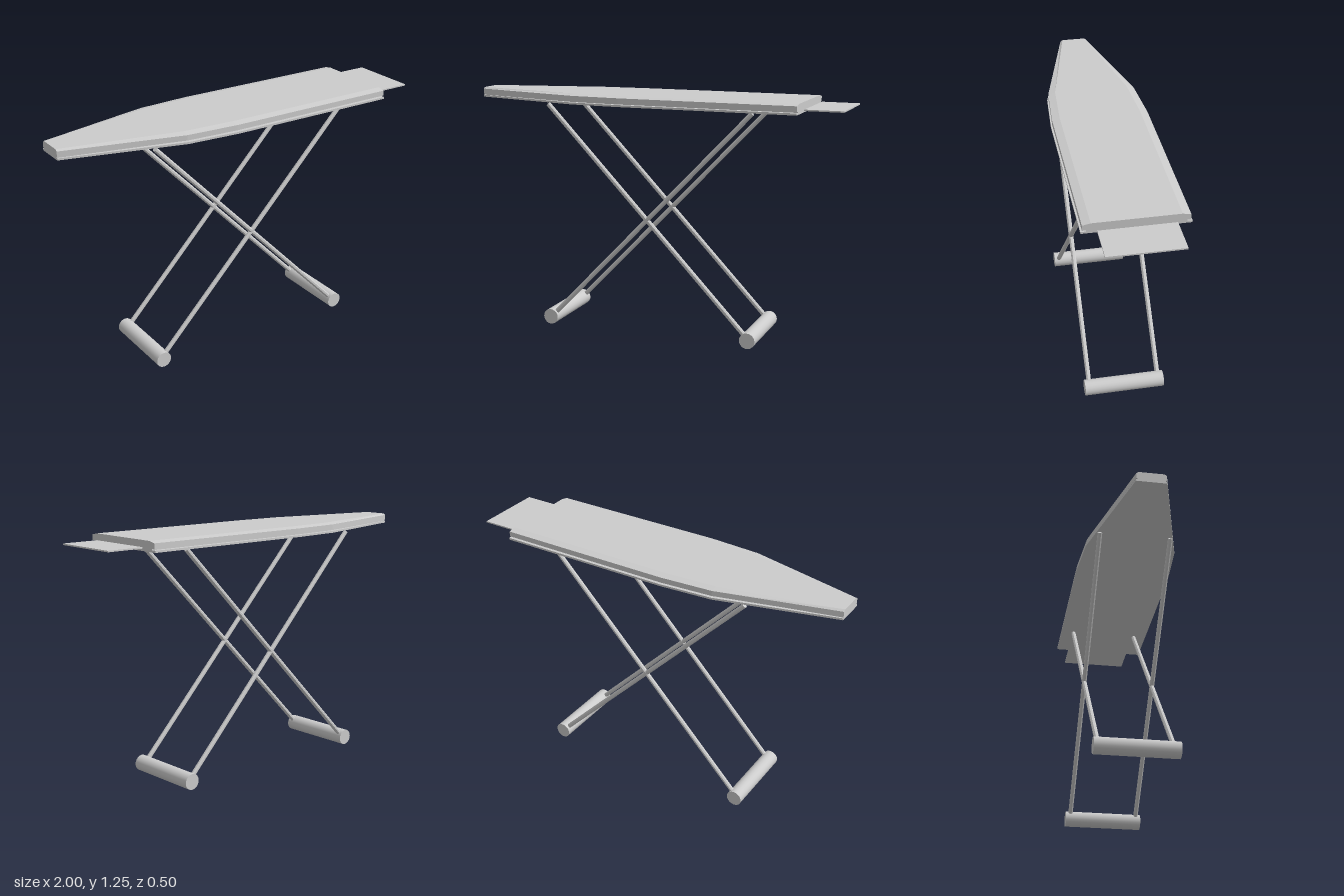
import * as THREE from 'three';

export function createModel() {
  const grey = new THREE.MeshStandardMaterial({ color: 0xcccccc });
  grey.name = 'light grey';
  const model = new THREE.Group();
  model.name = 'ironingBoard';

  const add = (name, geometry, x = 0, y = 0, z = 0) => {
    const mesh = new THREE.Mesh(geometry, grey);
    mesh.name = name;
    mesh.position.set(x, y, z);
    model.add(mesh);
    return mesh;
  };

  // Board: half section (half width, height) with a lip, a groove and a bevelled top
  const half = [
    [0.251, 1.197], [0.251, 1.207], [0.226, 1.207], [0.226, 1.213],
    [0.244, 1.213], [0.244, 1.24], [0.205, 1.248],
  ];
  const outline = [...half, ...half.map(([w, y]) => [-w, y]).reverse()];
  const section = new THREE.Shape(outline.map(([w, y]) => new THREE.Vector2(w, y)));

  // Stations along the board: x position and width factor, narrow at the tip
  const stations = [[-1, 0.3], [-0.4, 0.925], [-0.13, 1], [0.79, 1]];
  const steps = stations.length - 1;
  const board = new THREE.ExtrudeGeometry(section, { depth: steps, steps, bevelEnabled: false });
  board.rotateY(Math.PI / 2);
  const p = board.attributes.position;
  for (let i = 0; i < p.count; i++) {
    const [x, width] = stations[Math.round(p.getX(i))];
    p.setX(i, x);
    p.setZ(i, p.getZ(i) * width);
  }
  board.computeVertexNormals();
  add('board', board);

  // Thin rest plate beyond the square end
  add('ironRest', new THREE.BoxGeometry(0.192, 0.007, 0.36), 0.904, 1.215, 0);

  // Crossed legs and their round foot bars
  const rise = 1.147;
  const run = 1.104;
  const leg = new THREE.CylinderGeometry(0.0125, 0.0125, Math.hypot(rise, run), 8)
    .rotateY(Math.PI / 8).toNonIndexed();
  leg.computeVertexNormals();
  const foot = new THREE.CylinderGeometry(0.041, 0.041, 0.41, 20).rotateX(Math.PI / 2);
  for (const side of [1, -1]) {
    const label = side > 0 ? 'left' : 'right';
    add(label + 'FootBar', foot, side * 0.552, 0.041, 0);
    for (const z of [0.18, -0.18]) {
      const mesh = add(label + (z > 0 ? 'FrontLeg' : 'BackLeg'), leg, 0, 0.614, z);
      mesh.rotation.z = side * Math.atan2(run, rise);
    }
  }
  return model;
}
